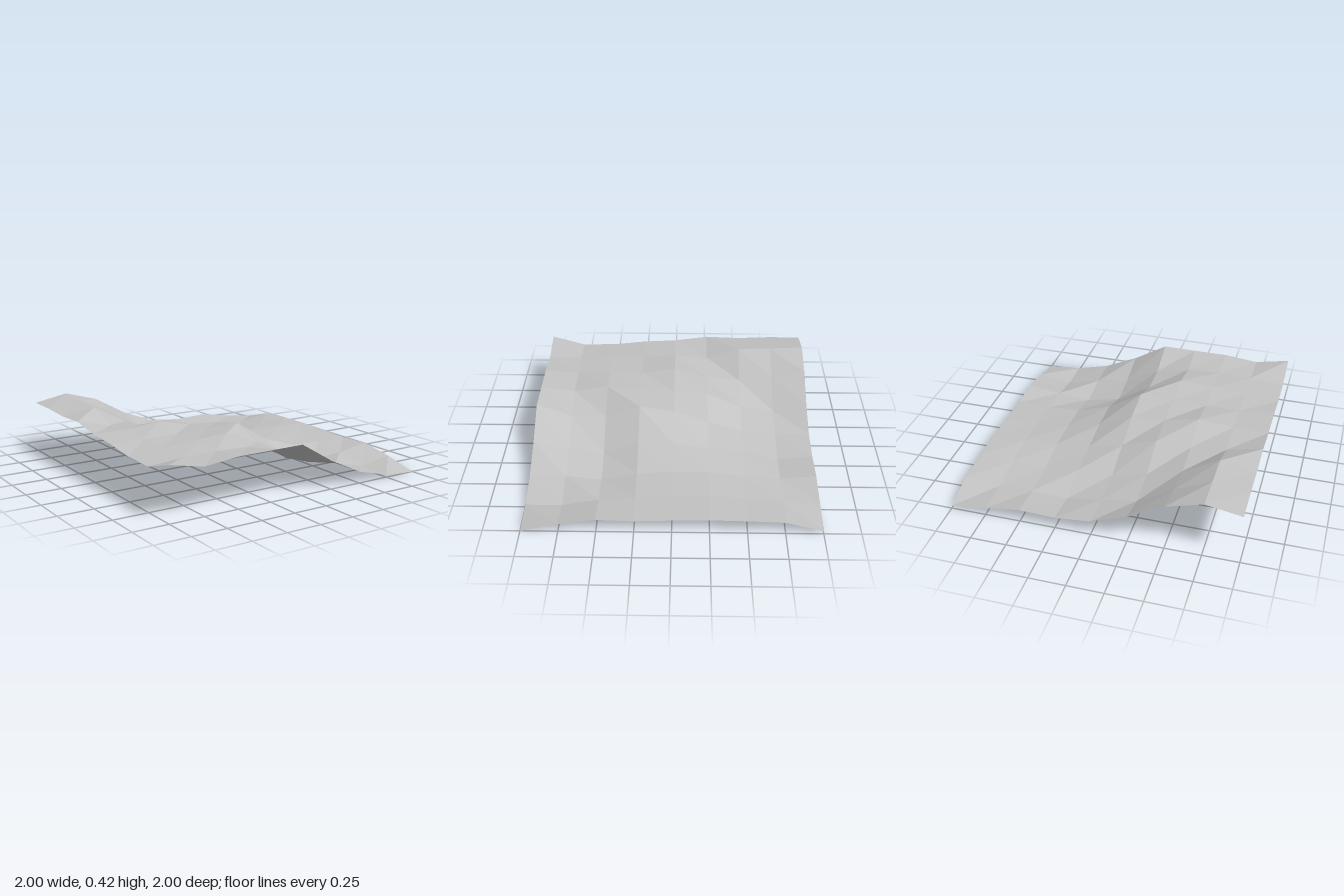
import * as THREE from 'three';

// Terrain heights in hundredths: rows run back to front, columns along +x
const HEIGHTS = [
  [37.5, 42, 34.7, 20.7, 11, 8.5, 9.4, 5.4, 2],
  [37.5, 41, 29.5, 14.5, 10, 5.5, 7, 6, 9],
  [36.5, 40.3, 26.5, 18.5, 12.6, 12, 8.5, 9, 10],
  [37.5, 31.9, 29, 29.5, 21, 15, 12, 11, 10.5],
  [34, 34, 36.5, 31, 29.5, 18.5, 12, 10, 10],
  [32.7, 32.5, 32.5, 33, 33.8, 18.5, 10.5, 9, 9],
  [30, 32, 33.5, 35.4, 25, 10, 4.7, 6.7, 10],
  [29.5, 31.5, 32, 31, 25.5, 13, 8, 2, 6],
  [36.7, 31.7, 34.2, 34.3, 34.4, 19.6, 8.1, 1.8, 0],
];

export function createModel() {
  const group = new THREE.Group();
  const stone = new THREE.MeshStandardMaterial({ color: 0xc2c2c2 });
  stone.name = 'stone grey';
  stone.flatShading = true;
  stone.side = THREE.DoubleSide;

  // Faceted ground sheet: a flat grid lifted to the height of each point
  const plane = new THREE.PlaneGeometry(2, 2, 8, 8).rotateX(-Math.PI / 2);
  const position = plane.attributes.position;
  HEIGHTS.flat().forEach((h, i) => position.setY(i, h / 100));
  const geometry = plane.toNonIndexed();
  geometry.computeVertexNormals();

  const terrain = new THREE.Mesh(geometry, stone);
  terrain.name = 'terrain';
  group.add(terrain);
  return group;
}
